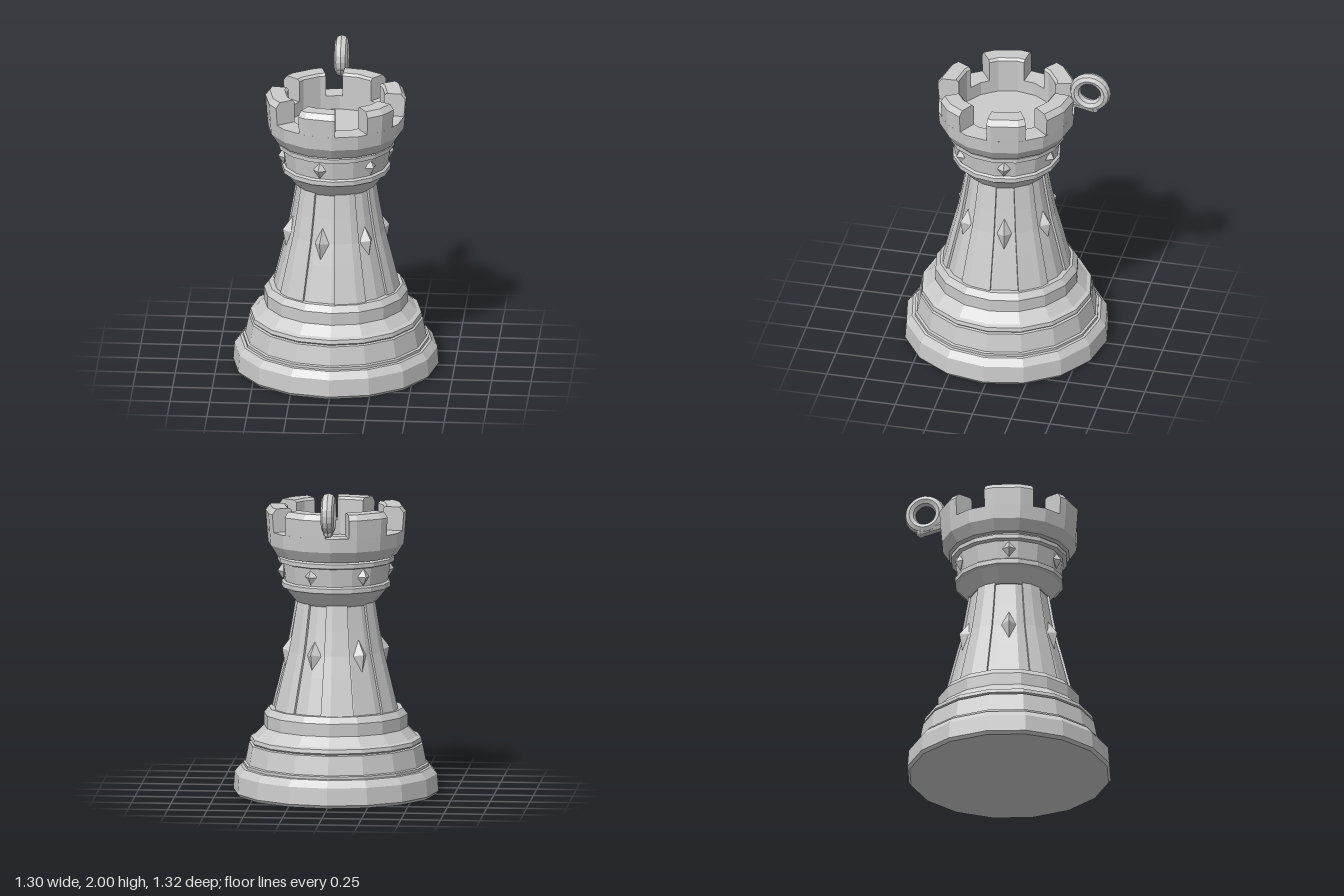
import * as THREE from 'three';

const SIDES = 16;
const STEP = 360 / SIDES;
const rad = THREE.MathUtils.degToRad;
const material = new THREE.MeshStandardMaterial({ color: 0xcccccc, flatShading: true });

// Angles in degrees, measured from the front towards +x
const NOTCHES = [[3, 31], [60, 86], [119, 138], [176, 196], [233, 262], [304, 331]];
const STUDS = [-14, 44, 100, 157, 216, 283];

const SHAFT = [[0.395, 0.54], [0.365, 0.66], [0.335, 0.78], [0.298, 0.92], [0.27, 1.07], [0.24, 1.25]];

function add(parent, name, geometry) {
  const mesh = new THREE.Mesh(geometry, material);
  mesh.name = name;
  parent.add(mesh);
  return mesh;
}

function turned(parent, name, profile) {
  return add(parent, name, new THREE.LatheGeometry(profile.map(([r, y]) => new THREE.Vector2(r, y)), SIDES));
}

// Solid made by turning a closed counter-clockwise (r, y) section through part of the faceted body
function arcSolid(section, from, to) {
  const angles = [from];
  for (let a = (Math.floor(from / STEP) + 1) * STEP; a < to; a += STEP) angles.push(a);
  angles.push(to);
  const point = ([r, y], a) => {
    const offset = a - Math.floor(a / STEP) * STEP - STEP / 2;
    const chord = r * Math.cos(rad(STEP / 2)) / Math.cos(rad(offset));
    return [chord * Math.sin(rad(a)), y, chord * Math.cos(rad(a))];
  };
  const pos = [];
  const tri = (a, b, c) => pos.push(...a, ...b, ...c);
  for (let k = 0; k < angles.length - 1; k++) {
    section.forEach((p, i) => {
      const q = section[(i + 1) % section.length];
      const p0 = point(p, angles[k]), p1 = point(p, angles[k + 1]);
      const q0 = point(q, angles[k]), q1 = point(q, angles[k + 1]);
      tri(p0, p1, q1);
      tri(p0, q1, q0);
    });
  }
  const faces = THREE.ShapeUtils.triangulateShape(section.map(([r, y]) => new THREE.Vector2(r, y)), []);
  for (const [i, j, k] of faces) {
    tri(point(section[i], from), point(section[j], from), point(section[k], from));
    tri(point(section[i], to), point(section[k], to), point(section[j], to));
  }
  const geometry = new THREE.BufferGeometry();
  geometry.setAttribute('position', new THREE.Float32BufferAttribute(pos, 3));
  geometry.computeVertexNormals();
  return geometry;
}

// Row of pointed diamond studs around the body
function studs(parent, name, radius, y, width, height, depth, tilt) {
  for (const angle of STUDS) {
    const geometry = new THREE.OctahedronGeometry(1);
    geometry.scale(width / 2, height / 2, depth);
    geometry.rotateX(-tilt);
    geometry.translate(0, y, radius);
    geometry.rotateY(rad(angle));
    add(parent, name, geometry);
  }
}

export function createModel() {
  const model = new THREE.Group();
  model.name = 'rook';
  const body = new THREE.Group();
  body.name = 'body';
  body.position.z = 0.01;
  model.add(body);

  // Stepped foot
  turned(body, 'base', [
    [0, 0], [0.635, 0], [0.65, 0.02], [0.642, 0.13], [0.605, 0.175],
    [0.588, 0.178], [0.588, 0.195], [0.573, 0.2], [0.55, 0.32],
    [0.535, 0.325], [0.545, 0.335], [0.54, 0.36], [0.515, 0.37], [0.455, 0.43],
    [0.455, 0.51], [0.425, 0.55], [0, 0.55],
  ]);

  // Flared shaft with raised strips between the stud panels
  turned(body, 'shaft', SHAFT);
  for (const [from, to] of NOTCHES) {
    const mid = (from + to) / 2;
    const section = [
      ...SHAFT.map(([r, y]) => [r + 0.016, y]),
      ...SHAFT.map(([r, y]) => [r - 0.03, y]).reverse(),
    ];
    add(body, 'shaftStrip', arcSolid(section, mid - 15, mid + 15));
  }
  studs(body, 'shaftStud', 0.292, 0.915, 0.095, 0.23, 0.05, 0.23);

  // Collar with its two rims
  turned(body, 'collar', [
    [0, 1.225], [0.25, 1.225], [0.265, 1.24], [0.325, 1.315],
    [0.345, 1.325], [0.345, 1.355], [0.33, 1.365], [0.345, 1.48],
    [0.37, 1.488], [0.37, 1.515], [0.35, 1.525], [0.35, 1.54], [0, 1.54],
  ]);
  studs(body, 'collarStud', 0.335, 1.425, 0.085, 0.11, 0.035, 0);

  // Hollow crown and its battlements
  turned(body, 'crown', [
    [0.35, 1.53], [0.385, 1.53], [0.43, 1.6], [0.438, 1.69], [0.31, 1.69], [0.31, 1.6], [0, 1.6],
  ]);
  const merlon = [[0.31, 1.68], [0.437, 1.68], [0.446, 1.805], [0.418, 1.84], [0.325, 1.84], [0.31, 1.825]];
  NOTCHES.forEach(([, end], i) => {
    const next = i + 1 < NOTCHES.length ? NOTCHES[i + 1][0] : NOTCHES[0][0] + 360;
    add(body, 'merlon', arcSolid(merlon, end, next));
  });

  // Hanging loop at the back
  const loop = add(model, 'loop', new THREE.TorusGeometry(0.0975, 0.035, 8, 20));
  loop.rotation.y = Math.PI / 2;
  loop.scale.z = 1.2;
  loop.position.set(0, 1.87, -0.532);
  const path = new THREE.LineCurve3(new THREE.Vector3(0, 1.79, -0.4), new THREE.Vector3(0, 1.755, -0.56));
  add(model, 'loopStem', new THREE.TubeGeometry(path, 1, 0.034, 8));
  const stemEnd = add(model, 'loopStemEnd', new THREE.SphereGeometry(0.034, 8, 6));
  stemEnd.position.set(0, 1.755, -0.56);

  return model;
}
